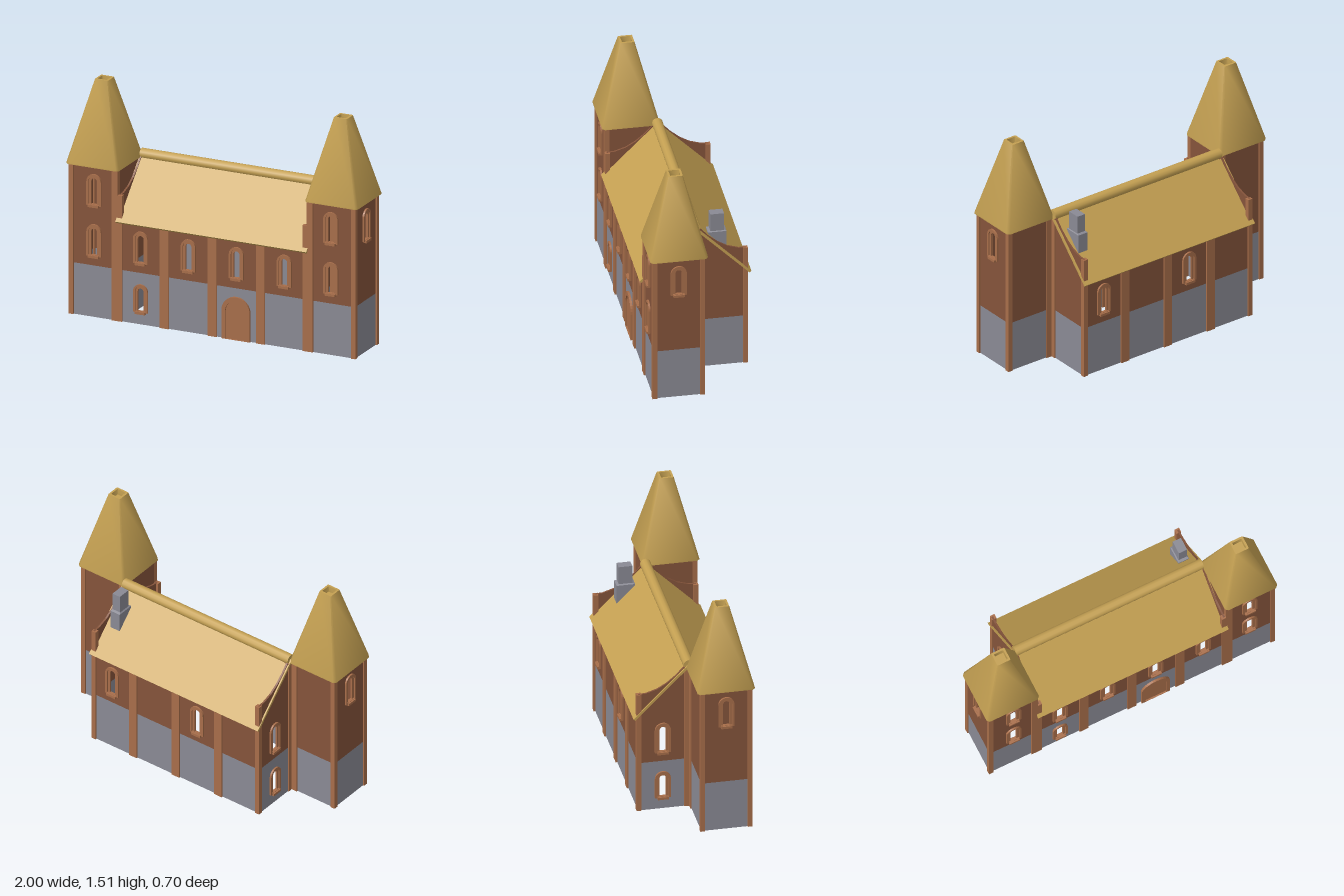
import * as THREE from 'three';
import { toCreasedNormals } from 'three/addons/utils/BufferGeometryUtils.js';

const mat = (name, color) => {
  const m = new THREE.MeshStandardMaterial({ color, side: THREE.DoubleSide });
  m.name = name;
  return m;
};

const T = 0.012;        // wall thickness
const STONE_TOP = 0.335; // height of the stone base

// Round-headed outline, centred on u, from y0 to y1
function arch(Type, u, w, y0, y1) {
  const r = w / 2, s = new Type();
  s.moveTo(u - r, y0);
  s.lineTo(u + r, y0);
  s.lineTo(u + r, y1 - r);
  s.absarc(u, y1 - r, r, 0, Math.PI, false);
  s.lineTo(u - r, y0);
  return s;
}

const polygon = (pts) => new THREE.Shape(pts.map(([x, y]) => new THREE.Vector2(x, y)));

function extrude(shape, depth, z = 0) {
  const g = new THREE.ExtrudeGeometry(shape, { depth, bevelEnabled: false, curveSegments: 8 });
  return g.translate(0, 0, z);
}

// Loft through rings of equal point count
function loft(rings) {
  const n = rings[0].length, pos = rings.flat(2), idx = [];
  for (let r = 0; r < rings.length - 1; r++) {
    for (let i = 0; i < n; i++) {
      const a = r * n + i, b = r * n + (i + 1) % n;
      idx.push(a, a + n, b, b, a + n, b + n);
    }
  }
  const g = new THREE.BufferGeometry();
  g.setAttribute('position', new THREE.Float32BufferAttribute(pos, 3));
  g.setIndex(idx);
  return g;
}

// Square ring with cut corners
function ring(h, cut, y) {
  const k = h - cut;
  return [[h, k], [k, h], [-k, h], [-h, k], [-h, -k], [-k, -h], [k, -h], [h, -k]]
    .map(([x, z]) => [x, y, -z]);
}

export function createModel() {
  const model = new THREE.Group();
  model.name = 'twinTowerHall';
  const thatch = mat('yellow roof', 0xc4a052);
  const brick = mat('brown wall', 0x85543b);
  const stone = mat('grey stone', 0x8a8a94);
  const trim = mat('light brown trim', 0xa86e4a);

  const add = (parent, name, geo, material, x = 0, y = 0, z = 0) => {
    const m = new THREE.Mesh(geo, material);
    m.name = name;
    m.position.set(x, y, z);
    parent.add(m);
    return m;
  };
  const block = (parent, name, material, x0, x1, y0, y1, z0, z1) =>
    add(parent, name, new THREE.BoxGeometry(x1 - x0, y1 - y0, z1 - z0), material,
      (x0 + x1) / 2, (y0 + y1) / 2, (z0 + z1) / 2);

  // Stepped window surround with a sill
  function windowFrame(parent, u, y0, y1) {
    const g = new THREE.Group();
    g.name = 'window';
    const outer = arch(THREE.Shape, u, 0.1, y0 + 0.01, y1);
    outer.holes.push(arch(THREE.Path, u, 0.072, y0 + 0.018, y1 - 0.014));
    add(g, 'outerFrame', extrude(outer, 0.012), trim);
    const inner = arch(THREE.Shape, u, 0.073, y0 + 0.01, y1 - 0.013);
    inner.holes.push(arch(THREE.Path, u, 0.04, y0 + 0.018, y1 - 0.028));
    add(g, 'innerFrame', extrude(inner, 0.014, -0.01), trim);
    block(g, 'sill', trim, u - 0.035, u + 0.035, y0, y0 + 0.016, -0.01, 0.022);
    parent.add(g);
  }

  // Wall facing local +z: stone below, brick above, with window openings
  function wall(name, halfWidth, top, windows, x, z, ry) {
    const g = new THREE.Group();
    g.name = name;
    const w = halfWidth;
    const base = polygon([[-w, 0], [w, 0], [w, STONE_TOP], [-w, STONE_TOP]]);
    const upper = polygon([[-w, STONE_TOP], [w, STONE_TOP],
      ...(Array.isArray(top) ? top : [[w, top], [-w, top]])]);
    for (const [u, y0, y1] of windows) {
      (y0 < STONE_TOP ? base : upper).holes.push(
        arch(THREE.Path, u, 0.05, y0 + 0.014, y1 - 0.022));
      windowFrame(g, u, y0, y1);
    }
    add(g, 'stoneBase', extrude(base, T, -T), stone);
    add(g, 'brickUpper', extrude(upper, T, -T), brick);
    g.position.set(x, 0, z);
    g.rotation.y = ry;
    model.add(g);
    return g;
  }

  const low = (u) => [u, 0.07, 0.262], mid = (u) => [u, 0.388, 0.605], high = (u) => [u, 0.718, 0.932];

  // Hall walls
  const front = wall('frontWall', 0.645, 0.665,
    [low(-0.493), ...[-0.493, -0.165, 0.165, 0.493].map(mid)], 0, 0.32, 0);
  wall('backWall', 0.645, 0.665, [mid(-0.493), mid(0.165)], 0, -0.32, Math.PI);

  // Gable ends with sweeping parapets
  const sweep = [[0.32, 0.82], [0.27, 0.823], [0.2, 0.845], [0.14, 0.88], [0.08, 0.93], [0.03, 0.985]];
  const gable = [...sweep, ...sweep.map(([u, y]) => [-u, y]).reverse()];
  wall('leftGable', 0.32, gable, [], 0.645, 0, Math.PI / 2);
  wall('rightGable', 0.32, gable, [low(-0.165), mid(-0.165)], -0.645, 0, -Math.PI / 2);

  // Arched door
  const surround = arch(THREE.Shape, 0.163, 0.195, 0, 0.28);
  surround.holes.push(arch(THREE.Path, 0.163, 0.145, 0.002, 0.252));
  add(front, 'doorSurround', extrude(surround, 0.014), trim);
  add(front, 'door', extrude(arch(THREE.Shape, 0.163, 0.15, 0, 0.255), 0.004), trim);

  // Hall pilasters
  for (const s of [-1, 1]) {
    const [z0, z1] = s > 0 ? [0.3, 0.33] : [-0.33, -0.3];
    for (const x of [-0.33, 0, 0.33]) block(model, 'pilaster', trim, x - 0.03, x + 0.03, 0, 0.655, z0, z1);
    for (const x of [-0.635, 0.635]) block(model, 'cornerPilaster', trim, x - 0.016, x + 0.016, 0, 0.82, z0, z1);
  }

  // Hall roof slopes and rounded ridge
  for (const s of [-1, 1]) {
    const slope = add(model, 'roofSlope', new THREE.BoxGeometry(1.31, 0.015, 0.49), thatch, 0, 0.822, s * 0.172);
    slope.rotation.x = s * Math.PI / 4;
  }
  const ridge = new THREE.CylinderGeometry(0.034, 0.034, 1.29, 12).rotateZ(Math.PI / 2);
  add(model, 'roofRidge', ridge, thatch, 0, 0.995, 0);

  // Towers, mirrored on both ends
  const spire = toCreasedNormals(loft([
    ring(0.16, 0.015, 0.978), ring(0.18, 0.016, 0.978), ring(0.18, 0.016, 0.987),
    ring(0.045, 0.004, 1.51), ring(0.032, 0.003, 1.51), ring(0.03, 0.003, 1.47),
    ring(0.0005, 0.0001, 1.47)]), 0.9);
  for (const s of [-1, 1]) {
    const cx = s * 0.8125;
    wall('towerFront', 0.162, 0.98, [mid(0), high(0)], cx, 0.32, 0);
    wall('towerBack', 0.162, 0.98, [], cx, 0.008, Math.PI);
    wall('towerOuterSide', 0.155, 0.98, [high(0)], s * 0.975, 0.165, s * Math.PI / 2);
    wall('towerInnerSide', 0.155, 0.98, [], s * 0.65, 0.165, -s * Math.PI / 2);
    for (const [z0, z1] of [[0.3, 0.33], [0, 0.03]]) {
      for (const [a, b] of [[0.953, 0.984], [0.648, 0.69]]) {
        block(model, 'towerPilaster', trim, Math.min(s * a, s * b), Math.max(s * a, s * b), 0, 0.98, z0, z1);
      }
    }
    const [i, o] = [s * 0.62, s * 0.652];
    block(model, 'gablePilaster', trim, Math.min(i, o), Math.max(i, o), 0, 0.98, -0.03, -0.001);
    add(model, 'towerRoof', spire, thatch, s * 0.82, 0, 0.163);
  }

  // Chimney: wide foot, sloped shoulder, narrow stack
  block(model, 'chimneyFoot', stone, 0.528, 0.6, 0.76, 0.91, -0.205, -0.088);
  const rect = (hx, hz, y) => [[hx, y, hz], [hx, y, -hz], [-hx, y, -hz], [-hx, y, hz]];
  add(model, 'chimneyShoulder', loft([rect(0.036, 0.0585, 0.91), rect(0.036, 0.0585, 0.925),
    rect(0.029, 0.043, 0.932)]).toNonIndexed(), stone, 0.564, 0, -0.1465).geometry.computeVertexNormals();
  block(model, 'chimneyStack', stone, 0.538, 0.595, 0.9, 1.05, -0.19, -0.104);

  return model;
}
